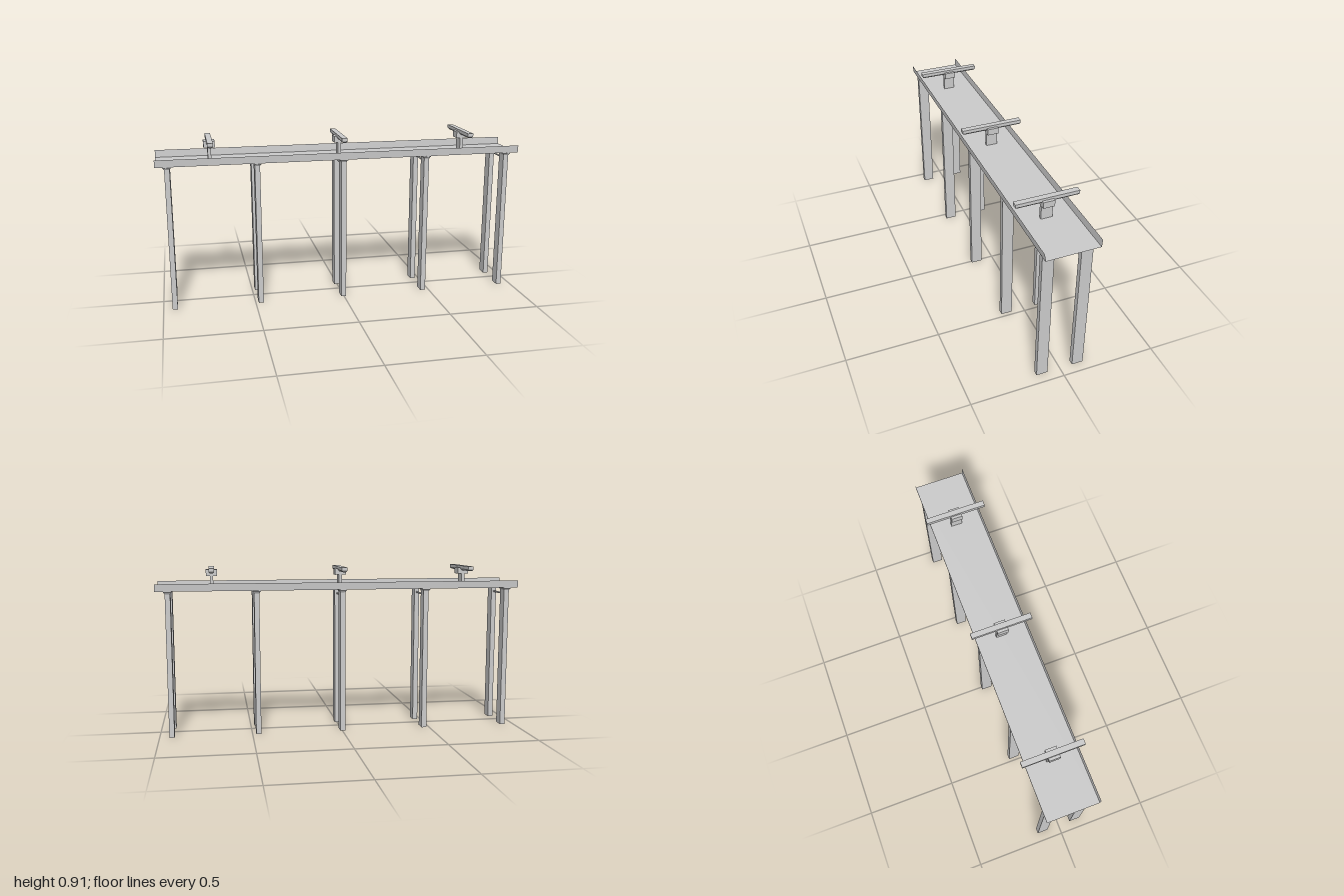
import * as THREE from 'three';

const material = new THREE.MeshStandardMaterial({ color: 0xcccccc, flatShading: true });
const sheetMaterial = new THREE.MeshStandardMaterial({
  color: 0xcccccc, flatShading: true, side: THREE.DoubleSide,
});

// Closed solid through rectangular sections [y, x0, x1, z0, z1], listed upward
function loft(sections) {
  const positions = [];
  const index = [];
  for (const [y, x0, x1, z0, z1] of sections) {
    positions.push(x0, y, z1, x1, y, z1, x1, y, z0, x0, y, z0);
  }
  for (let s = 0; s < sections.length - 1; s++) {
    for (let i = 0; i < 4; i++) {
      const a = s * 4 + i, b = s * 4 + (i + 1) % 4;
      index.push(a, b, b + 4, a, b + 4, a + 4);
    }
  }
  const t = (sections.length - 1) * 4;
  index.push(0, 2, 1, 0, 3, 2, t, t + 1, t + 2, t, t + 2, t + 3);
  const geometry = new THREE.BufferGeometry();
  geometry.setAttribute('position', new THREE.Float32BufferAttribute(positions, 3));
  geometry.setIndex(index);
  const flat = geometry.toNonIndexed();
  flat.computeVertexNormals();
  return flat;
}

// Thin trough: flat deck with upright side walls
function troughGeometry() {
  const profile = [[0.83, 0.142], [0.79, 0.139], [0.79, -0.139], [0.83, -0.142]];
  const positions = [];
  const index = [];
  for (const [y, z] of profile) positions.push(-1, y, z, 1, y, z);
  for (let i = 0; i < profile.length - 1; i++) {
    const a = i * 2;
    index.push(a, a + 1, a + 3, a, a + 3, a + 2);
  }
  const geometry = new THREE.BufferGeometry();
  geometry.setAttribute('position', new THREE.Float32BufferAttribute(positions, 3));
  geometry.setIndex(index);
  const flat = geometry.toNonIndexed();
  flat.computeVertexNormals();
  return flat;
}

function add(parent, name, geometry, x = 0, y = 0, z = 0, mat = material) {
  const mesh = new THREE.Mesh(geometry, mat);
  mesh.name = name;
  mesh.position.set(x, y, z);
  parent.add(mesh);
  return mesh;
}

export function createModel() {
  const model = new THREE.Group();
  model.name = 'elevatedBridge';

  add(model, 'deckTrough', troughGeometry(), 0, 0, 0, sheetMaterial);

  // Pier legs flare outward and sideways under the deck, flush on the inner side
  const leg = (side) => {
    const section = (y, flare) => {
      const inner = 0.069 * side, outer = (0.129 + flare) * side;
      const hx = 0.014 + flare;
      return [y, -hx, hx, Math.min(inner, outer), Math.max(inner, outer)];
    };
    return loft([section(0, 0), section(0.775, 0), section(0.783, 0.005),
      section(0.786, 0.008), section(0.7895, 0.008)]);
  };
  const legs = { frontLeg: leg(1), backLeg: leg(-1) };
  const tie = new THREE.CylinderGeometry(0.005, 0.005, 0.14, 8).rotateX(Math.PI / 2);

  for (let i = 0; i < 5; i++) {
    const pier = new THREE.Group();
    pier.name = 'pier';
    pier.position.x = -0.938 + i * 0.468;
    for (const name in legs) add(pier, name, legs[name]);
    add(pier, 'tieRod', tie, 0, 0.755, 0);
    model.add(pier);
  }

  // Posts with a block head carrying a crossbar chamfered along its underside
  const post = new THREE.BoxGeometry(0.018, 0.078, 0.06);
  const head = new THREE.BoxGeometry(0.06, 0.034, 0.06);
  const bar = loft([
    [0.885, -0.008, 0.008, -0.158, 0.158],
    [0.893, -0.015, 0.015, -0.165, 0.165],
    [0.911, -0.015, 0.015, -0.165, 0.165],
  ]);
  for (let i = -1; i <= 1; i++) {
    const stand = new THREE.Group();
    stand.name = 'crossbarStand';
    stand.position.x = -0.005 + i * 0.708;
    add(stand, 'post', post, 0, 0.827, 0);
    add(stand, 'postHead', head, 0, 0.882, 0);
    add(stand, 'crossbar', bar);
    model.add(stand);
  }
  return model;
}
